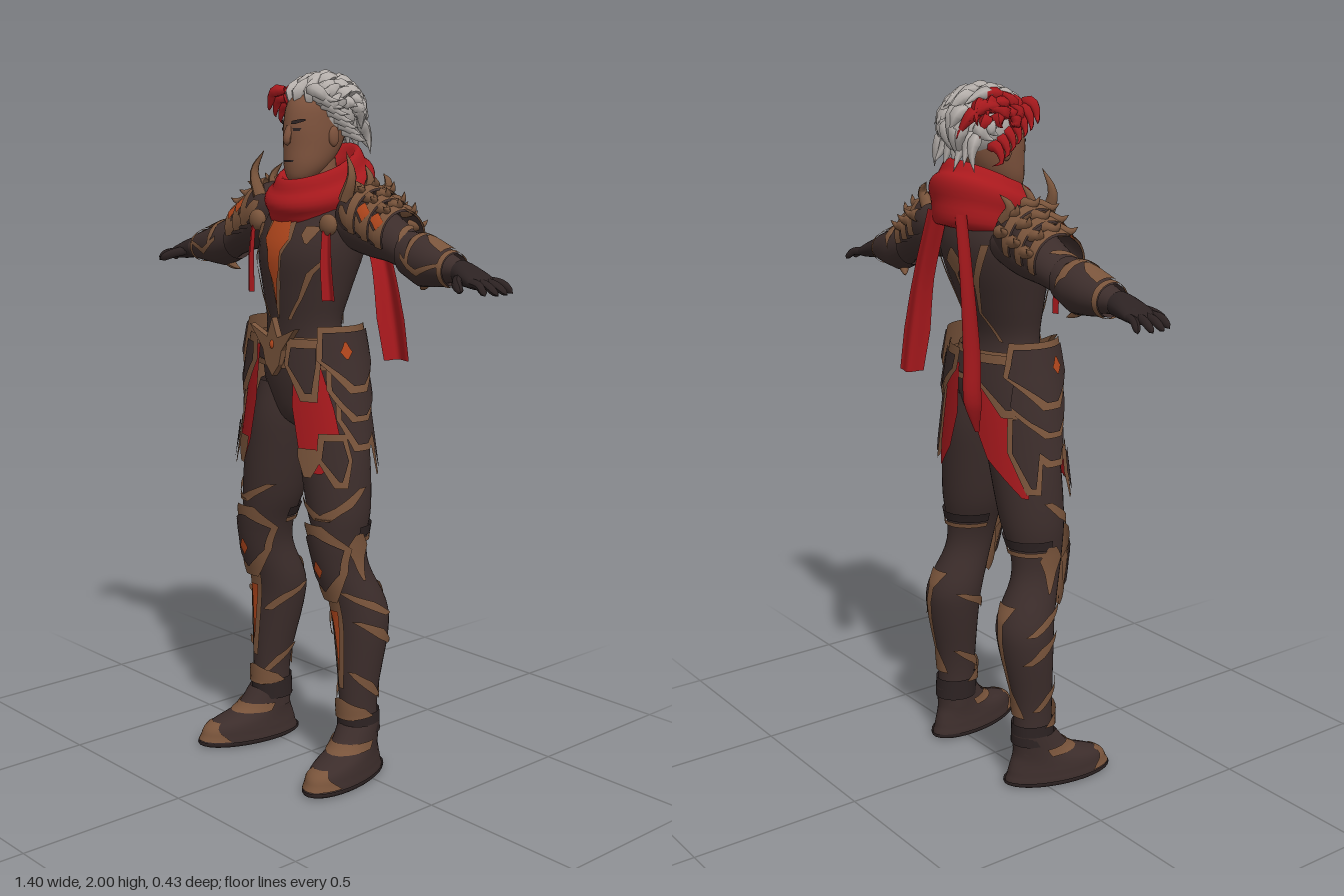
import * as THREE from 'three';
import { mergeVertices } from 'three/addons/utils/BufferGeometryUtils.js';

const PI = Math.PI, F = PI / 2;                       // F: the angle that faces the front
const V = (x, y, z) => new THREE.Vector3(x, y, z);
const flat = (name, color) => Object.assign(new THREE.MeshStandardMaterial({ color, side: THREE.DoubleSide }), { name });

// Surface through elliptical sections [x, y, z, radius1, radius2], stacked along y or x
function surf(secs, axis = 'y') {
  const k = axis === 'x' ? 0 : 1, n = secs.length;
  const c = new THREE.CatmullRomCurve3(secs.map(s => V(s[0], s[1], s[2])), false, 'catmullrom');
  const r = new THREE.CatmullRomCurve3(secs.map(s => V(s[3], s[4], 0)), false, 'catmullrom');
  const S = (v, a, off = 0) => {
    let i = 0;
    while (i < n - 2 && v > secs[i + 1][k]) i++;
    const f = (v - secs[i][k]) / (secs[i + 1][k] - secs[i][k]);
    const t = THREE.MathUtils.clamp((i + f) / (n - 1), 0, 1);
    const p = c.getPoint(t), q = r.getPoint(t);
    const u = (Math.max(q.x, 0.001) + off) * Math.cos(a), w = (Math.max(q.y, 0.001) + off) * Math.sin(a);
    return k ? p.add(V(u, 0, w)) : p.add(V(0, u, w));
  };
  S.rows = secs.map(s => [s[k], 0, 2 * PI]);
  S.flip = k === 0;
  return S;
}

// Grid of points f(row, column) turned into a smooth sheet
function sheet(f, rows, cols, flip) {
  const pos = [], idx = [];
  for (let i = 0; i <= rows; i++) for (let j = 0; j <= cols; j++) pos.push(...f(i, j).toArray());
  for (let i = 0; i < rows; i++) for (let j = 0; j < cols; j++) {
    const a = i * (cols + 1) + j, b = a + 1, c = a + cols + 1, d = c + 1;
    idx.push(...(flip ? [a, b, c, b, d, c] : [a, c, b, b, c, d]));
  }
  let g = new THREE.BufferGeometry();
  g.setAttribute('position', new THREE.Float32BufferAttribute(pos, 3));
  g.setIndex(idx);
  g = mergeVertices(g, 1e-5);
  g.computeVertexNormals();
  return g;
}

// Part of a surface between angles; pts are [height, angle0, angle1]
function strip(S, pts, off = 0.006, cols = 10, sub = 4) {
  const down = pts[0][0] > pts[pts.length - 1][0];
  return sheet((i, j) => {
    const k = Math.min(Math.floor(i / sub), pts.length - 2), f = i / sub - k;
    const [v, a, b] = pts[k].map((x, m) => x + (pts[k + 1][m] - x) * f);
    return S(v, a + (b - a) * j / cols, off);
  }, (pts.length - 1) * sub, cols, S.flip !== down);
}
const loft = S => strip(S, S.rows, 0, 32, 4);
const ring = (S, v0, v1, off = 0.006) => strip(S, [[v0, 0, 2 * PI], [v1, 0, 2 * PI]], off, 32, 3);

// Tapered tube for horns, fingers and hair locks
const sharp = t => 1 - t ** 1.5, round = t => Math.sqrt(1 - t ** 6), blade = t => Math.min(0.55 + 1.5 * t, 1.25 * (1 - t));
function horn(pts, r, profile = sharp, seg = 8, sides = 7) {
  const curve = new THREE.CatmullRomCurve3(pts), g = new THREE.TubeGeometry(curve, seg, r, sides), p = g.attributes.position;
  for (let i = 0; i < p.count; i++) {
    const t = Math.floor(i / (sides + 1)) / seg, c = curve.getPointAt(t);
    const v = V().fromBufferAttribute(p, i).sub(c).multiplyScalar(Math.max(profile(t), 0.01)).add(c);
    p.setXYZ(i, v.x, v.y, v.z);
  }
  g.computeVertexNormals();
  return g;
}

// Hanging cloth with a lengthwise fold; rows are [x, y, z, half width], turned by angle
function cloth(rows, angle) {
  const c = new THREE.CatmullRomCurve3(rows.map(r => V(r[0], r[1], r[2]))), n = rows.length - 1;
  const across = V(Math.cos(angle), 0, Math.sin(angle)), out = V(-Math.sin(angle), 0, Math.cos(angle));
  return sheet((i, j) => {
    const t = i / (n * 4), k = Math.min(Math.floor(t * n), n - 1), f = t * n - k, u = j / 6 - 1;
    const w = rows[k][3] * (1 - f) + rows[k + 1][3] * f;
    return c.getPoint(t).addScaledVector(across, u * w).addScaledVector(out, -0.45 * w * Math.cos(u * PI));
  }, n * 4, 12, true);
}

export function createModel() {
  const model = new THREE.Group();
  model.name = 'warrior';
  const dark = flat('dark leather', 0x3c2d2b), bronze = flat('bronze', 0x79543b), red = flat('red cloth', 0xa8191d),
    orange = flat('orange glow', 0xb0461c), skin = flat('skin', 0x7e533d), grey = flat('grey hair', 0xb6b0ac), black = flat('black leather', 0x2c2222);
  const add = (name, g, m) => { const o = new THREE.Mesh(g, m); o.name = name; model.add(o); };
  const pair = (name, g, m) => {
    const h = g.clone().scale(-1, 1, 1), ix = h.index.array;
    for (let i = 0; i < ix.length; i += 3) [ix[i], ix[i + 1]] = [ix[i + 1], ix[i]];
    add(name + 'Left', g, m);
    add(name + 'Right', h, m);
  };
  const trimmed = (name, S, pts, m, off, da = 0.08, dv = 0.018) => {   // plate with a bronze border
    const last = pts.length - 1;
    pair(name + 'Trim', strip(S, pts.map(([v, a, b], i) => [v + (i === 0 ? dv : i === last ? -dv : 0), a - da, b + da]), off), bronze);
    pair(name, strip(S, pts, off + 0.005), m);
  };
  const ball = (x, y, z, a, b, c) => new THREE.SphereGeometry(1, 20, 14).scale(a, b, c).translate(x, y, z);

  // Torso, chest glow and trims
  const torso = surf([[0, 1.0, 0.02, 0.03, 0.03], [0, 1.04, 0.02, 0.08, 0.075], [0, 1.12, 0.015, 0.14, 0.1], [0, 1.2, 0.02, 0.15, 0.1], [0, 1.3, 0.03, 0.125, 0.088],
    [0, 1.4, 0.02, 0.145, 0.108], [0, 1.5, 0.005, 0.168, 0.132], [0, 1.58, -0.015, 0.17, 0.125], [0, 1.65, -0.03, 0.125, 0.09], [0, 1.68, -0.03, 0.06, 0.06]]);
  add('torso', loft(torso), dark);
  add('neck', new THREE.CylinderGeometry(0.052, 0.06, 0.12, 20).translate(0, 1.7, -0.02), skin);
  add('chestTrim', strip(torso, [[1.59, 1.26, 1.88], [1.54, 1.26, 1.88], [1.5, 1.4, 1.74], [1.41, 1.46, 1.68], [1.32, 1.55, 1.59]], 0.004), bronze);
  add('chestGlow', strip(torso, [[1.59, 1.36, 1.78], [1.54, 1.3, 1.84], [1.51, 1.42, 1.72], [1.46, 1.44, 1.7], [1.42, 1.52, 1.62], [1.36, 1.56, 1.58]], 0.008), orange);
  pair('collarTrim', strip(torso, [[1.58, 0.75, 1.05], [1.555, 0.85, 1.1], [1.53, 0.95, 1.0]]), bronze);
  pair('ribTrim', strip(torso, [[1.5, 0.45, 0.55], [1.45, 0.75, 0.9], [1.38, 0.95, 1.05], [1.32, 1.2, 1.3]]), bronze);
  pair('backTrim', strip(torso, [[1.58, -0.95, -0.8], [1.48, -1.2, -1.08], [1.38, -1.3, -1.22], [1.3, -0.9, -0.8]]), bronze);
  add('backPlate', strip(torso, [[1.56, -F - 0.03, -F + 0.03], [1.52, -F - 0.22, -F + 0.22], [1.49, -F - 0.05, -F + 0.05], [1.42, -F - 0.01, -F + 0.01]]), bronze);
  pair('chestBoss', ball(0.15, 1.585, 0.075, 0.03, 0.03, 0.02), bronze);
  pair('chestStrap', cloth([[0.155, 1.57, 0.085, 0.012], [0.16, 1.48, 0.09, 0.016], [0.165, 1.38, 0.085, 0.018]], -0.6), red);

  // Belt with a pointed buckle
  add('belt', ring(torso, 1.2, 1.26, 0.016), dark);
  add('beltTopTrim', ring(torso, 1.255, 1.275, 0.02), bronze);
  add('beltLowTrim', ring(torso, 1.185, 1.2, 0.018), bronze);
  const star = new THREE.Shape();
  [[0, 0.08], [0.022, 0.025], [0.095, 0.055], [0.04, -0.01], [0.03, -0.05], [0, -0.085], [-0.03, -0.05], [-0.04, -0.01], [-0.095, 0.055], [-0.022, 0.025]]
    .forEach((p, i) => i ? star.lineTo(...p) : star.moveTo(...p));
  add('buckle', new THREE.ExtrudeGeometry(star, { depth: 0.02, bevelEnabled: false }).translate(0, 1.245, 0.13), bronze);
  add('buckleGem', ball(0, 1.25, 0.15, 0.008, 0.012, 0.006), orange);

  // Hip plates and skirt cloths hang on a flared surface
  const skirt = surf([[0, 0.84, 0.025, 0.27, 0.14], [0, 1.1, 0.025, 0.214, 0.13], [0, 1.25, 0.025, 0.178, 0.12], [0, 1.33, 0.025, 0.16, 0.11]]);
  for (let i = 0; i < 3; i++) {
    const top = 1.29 - 0.07 * i, tip = 1.14 - 0.08 * i, b = 0.6 - 0.12 * i;
    trimmed('hipPlate' + i, skirt, [[top, -0.6, b], [tip + 0.07, -0.72, b + 0.05], [tip, -0.1, 0.15]], dark, 0.024 - 0.01 * i);
  }
  pair('hipGem', strip(skirt, [[1.265, 0.2, 0.24], [1.24, 0.1, 0.34], [1.215, 0.2, 0.24]], 0.034), orange);
  pair('frontCloth', strip(skirt, [[1.24, 0.75, 1.15], [1.08, 0.5, 1.2], [0.96, 0.42, 1.12], [0.9, 0.8, 1.0]], -0.004), red);
  trimmed('thighPlate', skirt, [[0.99, 0.42, 0.72], [0.94, 0.36, 0.78], [0.885, 0.5, 0.55]], dark, 0.002);
  trimmed('frontPlate', skirt, [[1.25, 0.72, 1.15], [1.19, 0.75, 1.2], [1.12, 0.85, 0.95]], dark, 0.012);
  pair('clothTip', strip(skirt, [[0.965, 0.85, 1.12], [0.94, 0.78, 1.12], [0.89, 0.95, 1.05]], 0.003), bronze);
  add('backClothLeft', strip(skirt, [[1.22, -1.35, -0.8], [1.08, -1.4, -0.85], [0.97, -1.25, -0.85], [0.9, -1.0, -0.95]], 0), red);
  add('backClothRight', strip(skirt, [[1.22, PI + 0.8, PI + 1.35], [1.08, PI + 0.55, PI + 1.4], [0.97, PI + 0.5, PI + 1.15], [0.88, PI + 0.55, PI + 0.65]], 0), red);
  trimmed('backHipPlate', skirt, [[1.25, -1.35, -0.6], [1.2, -1.3, -0.6], [1.12, -0.8, -0.7]], dark, 0.01);
  trimmed('backLowPlate', skirt, [[1.1, -0.7, -0.3], [1.0, -0.75, -0.3], [0.91, -0.5, -0.42]], dark, 0.004);

  // Legs
  const leg = surf([[0.195, 0.1, -0.01, 0.052, 0.058], [0.193, 0.24, -0.008, 0.052, 0.06], [0.184, 0.42, -0.025, 0.078, 0.08], [0.175, 0.51, -0.02, 0.08, 0.085],
    [0.165, 0.62, 0.02, 0.06, 0.075], [0.157, 0.7, 0.03, 0.066, 0.08], [0.143, 0.79, 0.025, 0.088, 0.094], [0.122, 0.92, 0.02, 0.096, 0.103], [0.1, 1.03, 0.015, 0.092, 0.105], [0.085, 1.13, 0.01, 0.08, 0.09]]);
  pair('leg', loft(leg), dark);
  trimmed('kneePlate', leg, [[0.73, F - 0.1, F + 0.1], [0.69, F - 1.0, F + 1.0], [0.62, F - 0.75, F + 0.75], [0.56, F - 0.03, F + 0.03]], dark, 0.018, 0.26, 0.03);
  pair('kneeGem', strip(leg, [[0.65, F - 0.03, F + 0.03], [0.625, F - 0.2, F + 0.2], [0.6, F - 0.02, F + 0.02]], 0.028), orange);
  trimmed('shinGlow', leg, [[0.5, F - 0.17, F + 0.17], [0.42, F - 0.1, F + 0.1], [0.32, F - 0.02, F + 0.02]], orange, 0.006, 0.14, 0.05);
  pair('thighTrim', strip(leg, [[0.86, -0.2, 0.05], [0.81, 0.3, 0.8], [0.77, 1.0, 1.6], [0.83, 2.2, 2.5]]), bronze);
  pair('kneeBand', strip(leg, [[0.75, 0, -PI], [0.72, 0, -PI]], 0.008), black);
  pair('kneeBackTrim', strip(leg, [[0.715, 0, -PI], [0.7, 0, -PI]], 0.008), bronze);
  pair('kneeSide', strip(leg, [[0.73, -0.15, 0.15], [0.69, -0.45, 0.45], [0.65, -0.25, 0.25], [0.59, 0, 0.1]], 0.01), bronze);
  for (const [y, a] of [[0.56, 0.9], [0.47, 0.7], [0.32, 0.9], [0.5, 3.4], [0.3, 3.5]])       // slanted calf straps
    pair('calfStrap', strip(leg, [[y, a, a + 0.3], [y - 0.03, a - 0.8, a - 0.2], [y - 0.08, a - 1.5, a - 1.15]], 0.007), bronze);
  pair('calfTrim', strip(leg, [[0.56, -F - 0.5, -F + 0.5], [0.51, -F - 0.14, -F + 0.14], [0.3, -F - 0.1, -F + 0.1], [0.22, -F - 0.6, -F + 0.6]]), bronze);
  pair('ankleBand', strip(leg, [[0.24, F - 0.1, F + 0.1], [0.215, F - 1.2, F + 1.2], [0.19, F - 1.6, F + 1.6], [0.18, F - 0.5, F + 0.5]], 0.012), bronze);
  pair('bootCuff', ring(leg, 0.13, 0.195, 0.007), black);

  // Boots, toes turned out
  const foot = surf([[0, 0, 0.07, 0.01, 0.02], [0, 0.003, 0.07, 0.066, 0.155], [0, 0.035, 0.068, 0.068, 0.156], [0, 0.065, 0.06, 0.064, 0.14], [0, 0.1, 0.02, 0.058, 0.09], [0, 0.16, -0.008, 0.056, 0.066]]);
  const place = g => g.rotateY(0.2).translate(0.2, 0, 0);
  pair('boot', place(loft(foot)), dark);
  pair('sole', place(ring(foot, 0.003, 0.02, 0.005)), black);
  pair('toeCap', place(strip(foot, [[0.022, F - 1.0, F + 1.0], [0.045, F - 0.7, F + 0.7], [0.072, F - 0.4, F + 0.4]], 0.005)), bronze);
  pair('bootTrim', place(strip(foot, [[0.12, 0, PI], [0.095, 0, PI]], 0.005)), bronze);

  // Arms, bracers and hands
  const arm = surf([[0.1, 1.58, -0.03, 0.05, 0.07], [0.2, 1.575, -0.035, 0.075, 0.082], [0.3, 1.545, -0.035, 0.06, 0.066], [0.37, 1.515, -0.03, 0.052, 0.056],
    [0.43, 1.497, -0.028, 0.06, 0.06], [0.53, 1.484, -0.022, 0.033, 0.038], [0.58, 1.474, -0.018, 0.028, 0.042], [0.63, 1.46, -0.015, 0.018, 0.046], [0.65, 1.453, -0.015, 0.008, 0.03]], 'x');
  pair('arm', loft(arm), dark);
  pair('glove', strip(arm, [[0.55, 0, 2 * PI], [0.6, 0, 2 * PI], [0.65, 0, 2 * PI]], 0.002, 24), black);
  const bracer = surf([[0.36, 1.515, -0.03, 0.06, 0.062], [0.42, 1.498, -0.028, 0.068, 0.07], [0.47, 1.491, -0.026, 0.056, 0.062], [0.53, 1.484, -0.022, 0.042, 0.048]], 'x');
  pair('bracer', ring(bracer, 0.36, 0.53, 0), dark);
  pair('bracerTopTrim', strip(bracer, [[0.395, -1.6, -1.2], [0.41, -1.2, 1.4], [0.425, -1, 1.8]], 0.005), bronze);
  pair('bracerWristTrim', ring(bracer, 0.515, 0.53, 0.004), bronze);
  pair('bracerStripe', strip(bracer, [[0.43, -0.1, 0.1], [0.46, -0.4, 0.4], [0.51, -0.6, 0.6]]), bronze);
  pair('bracerFrontTrim', strip(bracer, [[0.39, 1.3, 1.5], [0.45, 1.7, 2.0], [0.52, 1.2, 1.4]]), bronze);
  pair('sleeveTrim', strip(arm, [[0.33, -0.6, -0.4], [0.35, -0.3, 0.6], [0.37, 0.6, 1.1]]), bronze);
  pair('elbowSpike', horn([V(0.42, 1.45, -0.03), V(0.4, 1.43, -0.04), V(0.38, 1.42, -0.05)], 0.018), bronze);
  [[-0.05, -0.072, 0.685], [-0.026, -0.035, 0.7], [-0.002, 0.0, 0.7], [0.02, 0.032, 0.685]].forEach(([z0, z1, x], i) =>
    pair('finger' + i, horn([V(0.62, 1.462, z0), V(0.66, 1.455, (z0 + z1) / 2), V(x, 1.432, z1)], 0.0115, round), black));
  pair('thumb', horn([V(0.575, 1.468, 0.01), V(0.6, 1.458, 0.045), V(0.635, 1.44, 0.068)], 0.014, round), black);

  // Layered shoulder guards with curled spikes and horns
  for (let i = 0; i < 3; i++) {
    const x = 0.14 + 0.045 * i, y = 1.607 - 0.02 * i, r = 0.086 - 0.007 * i, e = x + 0.1;
    const guard = surf([[x, y, -0.033, r * 0.75, r * 0.85], [x + 0.05, y, -0.033, r * 0.98, r * 1.08], [e, y - 0.015, -0.033, r, r * 1.1]], 'x');
    pair('shoulderPlate' + i, strip(guard, [[x, -2, 2], [x + 0.05, -2, 2], [e, -1.9, 1.9]], 0, 24), dark);
    pair('shoulderRim' + i, strip(guard, [[e - 0.028, -1.95, 1.95], [e, -1.9, 1.9]], 0.006, 24), bronze);
    for (const a of [-1.2, -0.55, 0.05, 0.6])
      pair('shoulderSpike', horn([guard(e - 0.05, a - 0.15), guard(e - 0.015, a - 0.05, 0.012), guard(e - 0.01, a + 0.05, 0.034)], 0.019), bronze);
    if (i) pair('shoulderGlow' + i, strip(guard, [[e - 0.05, 1.0, 1.1], [e - 0.035, 0.75, 1.2], [e - 0.02, 0.85, 1.35], [e - 0.005, 0.95, 1.05]], 0.009), orange);
    pair('shoulderFrontTrim' + i, strip(guard, [[x + 0.03, 1.2, 1.4], [x + 0.05, 1.2, 1.75], [e - 0.02, 1.5, 1.9]], 0.005), bronze);
  }
  for (const [z, h] of [[0.04, 1.78], [-0.03, 1.745], [-0.1, 1.72]])
    pair('shoulderHorn', horn([V(0.18, 1.65, z), V(0.205, (h + 1.66) / 2, z), V(0.172, h, z - 0.01)], 0.02), bronze);

  // Scarf: one soft folded wrap, lower at the front, and two tails behind
  add('scarf', sheet((i, j) => {
    const a = i / 48 * 2 * PI, b = j / 36 * 2 * PI, s = Math.sin(a);
    const k = 1 + 0.13 * Math.sin(5 * b + 1.5 * Math.sin(a + 0.6)) * Math.cos(b / 2 - PI / 8) ** 2, R = 0.044 * k * Math.cos(b);
    return V((0.1 + R) * Math.cos(a), 1.672 - 0.032 * s + (0.074 - 0.014 * s) * k * Math.sin(b) - 0.25 * R, -0.03 + (0.115 + R) * s);
  }, 48, 36, false), red);
  add('scarfTailLong', cloth([[-0.06, 1.66, -0.16, 0.028], [-0.09, 1.5, -0.165, 0.032], [-0.11, 1.3, -0.165, 0.042], [-0.12, 1.16, -0.17, 0.045], [-0.12, 1.07, -0.15, 0.01]], 0.35), red);
  add('scarfTailLeft', cloth([[0.05, 1.66, -0.16, 0.03], [0.12, 1.46, -0.165, 0.032], [0.15, 1.31, -0.17, 0.04], [0.165, 1.19, -0.18, 0.036]], -0.6), red);

  // Head and face
  const head = surf([[0, 1.694, 0.045, 0.012, 0.015], [0, 1.705, 0.042, 0.036, 0.038], [0, 1.74, 0.022, 0.058, 0.066], [0, 1.79, 0, 0.069, 0.088],
    [0, 1.85, -0.012, 0.074, 0.1], [0, 1.91, -0.02, 0.072, 0.092], [0, 1.95, -0.03, 0.045, 0.06], [0, 1.96, -0.03, 0.01, 0.01]]);
  add('head', loft(head), skin);
  add('nose', horn([V(0, 1.845, 0.08), V(0, 1.815, 0.092), V(0, 1.795, 0.09)], 0.013, round), skin);
  add('mouth', strip(head, [[1.752, F - 0.3, F + 0.3], [1.757, F - 0.34, F + 0.34]], 0.003), black);
  pair('ear', ball(0.073, 1.82, -0.015, 0.01, 0.028, 0.018), skin);
  pair('eye', strip(head, [[1.835, 1.05, 1.3], [1.843, 1.0, 1.32]], 0.003), black);
  pair('brow', strip(head, [[1.853, 1.22, 1.38], [1.861, 0.9, 1.36], [1.866, 0.9, 1.05]], 0.005), black);

  // Swept-back hair: a cap under rows of pointed locks, red on the right side
  let seed = 7;
  const rnd = () => (seed = seed * 16807 % 2147483647) / 2147483647 - 0.5;
  add('hairCap', ball(0, 1.885, -0.04, 0.084, 0.088, 0.102), grey);
  const on = (u, w, k) => V(0.094 * k * Math.sin(w), 1.882 + 0.091 * k * Math.sin(u) * Math.cos(w), -0.04 + 0.106 * k * Math.cos(u) * Math.cos(w));
  for (let i = 0; i < 7; i++) for (let j = 0; j < 8; j++) {
    const u = 0.3 + i * 0.43 + rnd() * 0.2, w = -1.2 + (j + (i % 2) / 2) * 0.32 + rnd() * 0.15, dw = rnd() * 0.7, lift = rnd() * 0.14;
    const g = horn([on(u, w, 0.94), on(u + 0.3, w + dw * 0.2, 1.1), on(u + 0.7, w + dw * 0.6, 1.14 + lift / 2), on(u + 1.0, w + dw, 1.22 + lift)], 0.023, blade, 8, 5);
    add('hairLock', g, w < -0.55 && i < 6 ? red : grey);
  }
  for (let j = 0; j < 7; j++) {                        // loose locks at the temples and nape
    const y = 1.945 - j * 0.018, z = 0.058 - j * 0.02;
    add('redSideLock', horn([V(-0.045, y, z), V(-0.085, y - 0.008, z + 0.012), V(-0.1, y - 0.045, z + 0.012), V(-0.122 + 0.007 * j, y - 0.055, z - 0.005)], 0.02, blade, 8, 5), red);
    add('greySideLock', horn([V(0.05, y, z), V(0.08, y - 0.004, z - 0.005), V(0.094, y - 0.025, z - 0.03), V(0.122 - 0.004 * j, y - 0.03, z - 0.055)], 0.022, blade, 8, 5), grey);
    const x = (j - 3) * 0.025;
    add('napeLock', horn([V(x, 1.87, -0.11), V(x * 1.1, 1.82, -0.135), V(x * 1.25, 1.77 + 0.014 * (j % 2), -0.135 - 0.012 * (j % 3))], 0.021, blade, 8, 5), grey);
  }
  return model;
}
